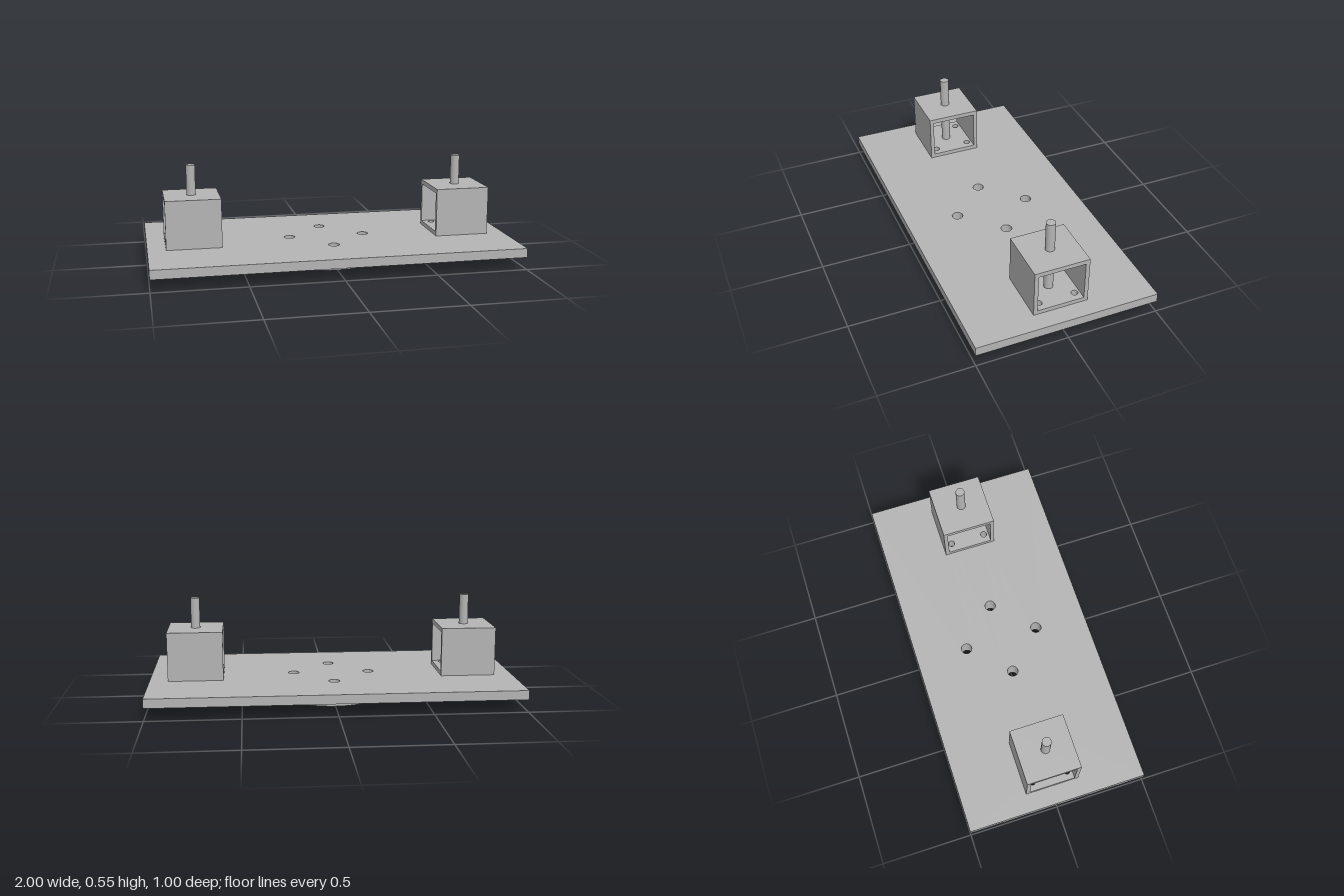
import * as THREE from 'three';
import { toCreasedNormals } from 'three/addons/utils/BufferGeometryUtils.js';

// Heights of the stacked parts
const PLATE_Y = 0.068, TUBE_Y = 0.118, FLOOR_Y = 0.141, CEIL_Y = 0.36, TUBE_TOP = 0.385, PIN_TOP = 0.551;
const TUBE = 0.3, WALL = 0.022;

const rectangle = (w, d) => new THREE.Shape([
  new THREE.Vector2(-w / 2, -d / 2), new THREE.Vector2(w / 2, -d / 2),
  new THREE.Vector2(w / 2, d / 2), new THREE.Vector2(-w / 2, d / 2),
]);

const circle = (r) => new THREE.Shape().absarc(0, 0, r, 0, Math.PI * 2, false);

// Cuts round holes in a shape and raises it from y0 to y1
function slab(shape, holes, y0, y1) {
  for (const [x, z, r] of holes) {
    shape.holes.push(new THREE.Path().absarc(x, -z, r, 0, Math.PI * 2, true));
  }
  const geometry = new THREE.ExtrudeGeometry(shape, { depth: y1 - y0, bevelEnabled: false, curveSegments: 48 });
  geometry.rotateX(-Math.PI / 2).translate(0, y0, 0);
  return toCreasedNormals(geometry, Math.PI / 5);
}

export function createModel() {
  const model = new THREE.Group();
  model.name = 'mountingPlateAssembly';
  const metal = new THREE.MeshStandardMaterial({ color: 0xb4b4b4 });
  metal.name = 'grey metal';

  const add = (parent, name, geometry, x = 0, y = 0, z = 0) => {
    const mesh = new THREE.Mesh(geometry, metal);
    mesh.name = name;
    mesh.position.set(x, y, z);
    parent.add(mesh);
  };

  // Bolt patterns: a cross in the middle, a square under each tube
  const cross = [[0.21, 0], [-0.21, 0], [0, 0.21], [0, -0.21]].map(([x, z]) => [x, z, 0.03]);
  const square = [[1, 1], [1, -1], [-1, 1], [-1, -1]].map(([x, z]) => [x * 0.1, z * 0.1, 0.018]);
  const shifted = [-0.75, 0.75].flatMap((dx) => square.map(([x, z, r]) => [x + dx, z, r]));

  add(model, 'baseDisc', slab(circle(0.3), cross, 0, PLATE_Y));
  add(model, 'plate', slab(rectangle(2, 1), [...cross, ...shifted], PLATE_Y, TUBE_Y));

  // Square tubes, open along x, each holding an upright pin
  for (const side of [1, -1]) {
    const mount = new THREE.Group();
    mount.name = side > 0 ? 'leftMount' : 'rightMount';
    mount.position.x = side * 0.75;
    model.add(mount);

    add(mount, 'tubeFloor', slab(rectangle(TUBE, TUBE), square, TUBE_Y, FLOOR_Y));
    add(mount, 'tubeTop', new THREE.BoxGeometry(TUBE, TUBE_TOP - CEIL_Y, TUBE), 0, (TUBE_TOP + CEIL_Y) / 2);
    for (const z of [1, -1]) {
      add(mount, 'tubeWall', new THREE.BoxGeometry(TUBE, CEIL_Y - FLOOR_Y, WALL),
        0, (CEIL_Y + FLOOR_Y) / 2, z * (TUBE - WALL) / 2);
    }
    add(mount, 'pin', new THREE.CylinderGeometry(0.025, 0.025, PIN_TOP - FLOOR_Y, 40), 0, (PIN_TOP + FLOOR_Y) / 2);
  }
  return model;
}
